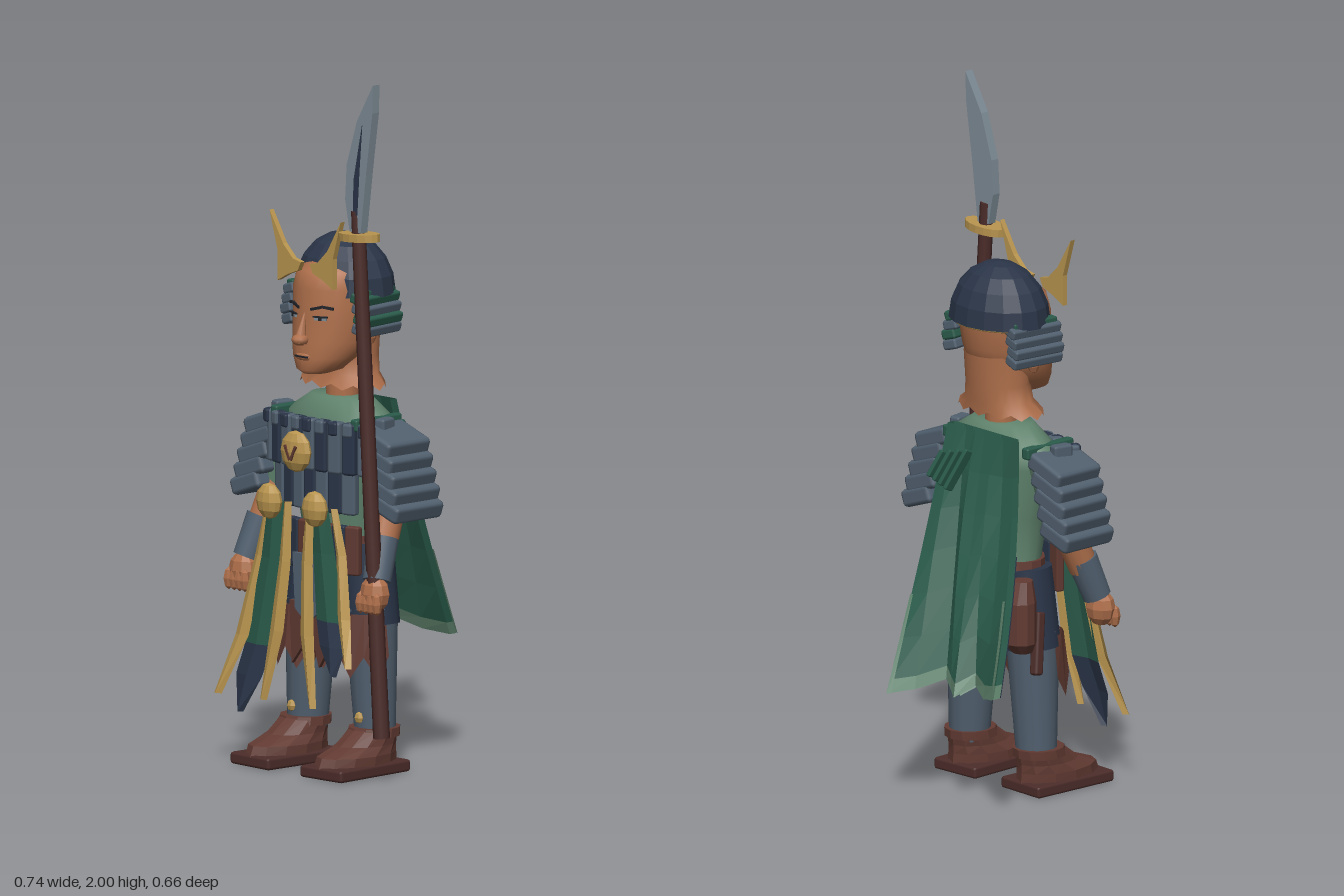
import * as THREE from 'three';
import { RoundedBoxGeometry } from 'three/addons/geometries/RoundedBoxGeometry.js';

const C = 0.025; // body centre line
const colours = {
  navy: 0x2a3548, slate: 0x51606f, darkGreen: 0x2a5b4b, sage: 0x5f826c, gold: 0xb9954f,
  skin: 0xae6f4b, leather: 0x613a32, shaftWood: 0x4c2d2a, steel: 0x7d8b95, ink: 0x1f2228,
};
const M = {};
const V = (x, y, z) => new THREE.Vector3(x, y, z);
const lerp = THREE.MathUtils.lerp;

function flat(geo) {
  const g = geo.index ? geo.toNonIndexed() : geo;
  g.computeVertexNormals();
  return g;
}

// Surface through closed or open rows of points
function skinRows(rows, { closed = true, caps = true, smooth = false } = {}) {
  const n = rows[0].length, pos = [], idx = [];
  rows.forEach((r) => r.forEach((p) => pos.push(p.x, p.y, p.z)));
  for (let i = 0; i < rows.length - 1; i++) {
    for (let j = 0; j < (closed ? n : n - 1); j++) {
      const k = (j + 1) % n, a = i * n + j, b = i * n + k;
      idx.push(a, b, b + n, a, b + n, a + n);
    }
  }
  if (closed && caps) {
    [0, rows.length - 1].forEach((i) => {
      const c = rows[i].reduce((s, p) => s.add(p), V(0, 0, 0)).divideScalar(n);
      const m = pos.length / 3;
      pos.push(c.x, c.y, c.z);
      for (let j = 0; j < n; j++) {
        const a = i * n + j, b = i * n + (j + 1) % n;
        if (i) idx.push(m, a, b); else idx.push(m, b, a);
      }
    });
  }
  const g = new THREE.BufferGeometry();
  g.setAttribute('position', new THREE.Float32BufferAttribute(pos, 3));
  g.setIndex(idx);
  if (!smooth) return flat(g);
  g.computeVertexNormals();
  return g;
}

// Stacked ellipses: [y, centre z, radius x, radius z]; jag tears the lowest edge
function stack(levels, cx, sides, opts, jag = 0) {
  return skinRows(levels.map(([y, cz, rx, rz], i) => Array.from({ length: sides }, (_, j) => {
    const t = (j / sides) * Math.PI * 2;
    return V(cx + rx * Math.sin(t), y + (i === 0 && j % 2 ? jag : 0), cz + rz * Math.cos(t));
  })), opts);
}

// Hanging strip with a raised fold: [x, y, z, half width]
function ribbon(path) {
  return skinRows(path.map(([x, y, z, w]) => [V(x - w, y, z - 0.012), V(x, y, z), V(x + w, y, z - 0.012)]).reverse(), { closed: false });
}

function plate(points, depth) {
  const s = new THREE.Shape(points.map(([x, y]) => new THREE.Vector2(x, y)));
  return new THREE.ExtrudeGeometry(s, { depth, bevelEnabled: false });
}

export function createModel() {
  const root = new THREE.Group();
  for (const k in colours) {
    M[k] = new THREE.MeshStandardMaterial({ color: colours[k], side: THREE.DoubleSide });
    M[k].name = k;
  }
  const add = (name, geo, mat, p = [0, 0, 0], r = [0, 0, 0], s = [1, 1, 1]) => {
    const m = new THREE.Mesh(geo, M[mat]);
    m.name = name;
    m.position.set(...p); m.rotation.set(...r); m.scale.set(...s);
    root.add(m);
    return m;
  };
  const slab = (w, h, d) => new RoundedBoxGeometry(w, h, d, 1, Math.min(w, h, d) * 0.25);
  const ball = (a = 9, b = 6) => flat(new THREE.SphereGeometry(1, a, b));
  const limb = (name, a, b, ra, rb, mat, sides = 14) => {
    const A = V(...a), B = V(...b), d = B.clone().sub(A);
    const m = add(name, new THREE.CylinderGeometry(rb, ra, d.length(), sides), mat);
    m.position.copy(A).addScaledVector(d, 0.5);
    m.quaternion.setFromUnitVectors(V(0, 1, 0), d.normalize());
  };

  // Torso, neck and head
  add('torso', stack([[0.42, 0.05, 0.07, 0.055], [0.46, 0.045, 0.11, 0.08], [0.52, 0.05, 0.135, 0.093], [0.6, 0.065, 0.145, 0.093],
    [0.68, 0.08, 0.135, 0.09], [0.8, 0.085, 0.15, 0.103], [0.95, 0.085, 0.185, 0.105], [1.01, 0.085, 0.19, 0.1], [1.065, 0.085, 0.1, 0.07]],
  C, 20, { smooth: true }), 'sage');
  add('belt', stack([[0.625, 0.075, 0.15, 0.098], [0.675, 0.08, 0.146, 0.098]], C, 18), 'leather');
  limb('neckCore', [C, 1.04, 0.08], [C, 1.13, 0.08], 0.048, 0.048, 'skin');
  add('neck', stack([[1.09, 0.078, 0.15, 0.088], [1.13, 0.07, 0.112, 0.083], [1.18, 0.065, 0.098, 0.085], [1.27, 0.07, 0.1, 0.1]],
    C, 24, { caps: false, smooth: true }, 0.016), 'skin');
  add('head', stack([[1.138, 0.18, 0.035, 0.045], [1.15, 0.165, 0.065, 0.074], [1.185, 0.14, 0.094, 0.1], [1.23, 0.115, 0.112, 0.122],
    [1.29, 0.1, 0.122, 0.131], [1.38, 0.09, 0.128, 0.137], [1.43, 0.085, 0.118, 0.128], [1.47, 0.08, 0.06, 0.07]],
  C, 24, { smooth: true }), 'skin');
  add('noseBridge', new THREE.ConeGeometry(0.019, 0.1, 8), 'skin', [C, 1.275, 0.236], [-0.22, 0, 0], [1, 1, 1.2]);
  add('noseTip', new THREE.SphereGeometry(1, 10, 7), 'skin', [C, 1.238, 0.246], [0, 0, 0], [0.024, 0.017, 0.027]);
  add('lips', new THREE.SphereGeometry(1, 10, 6), 'skin', [C, 1.188, 0.23], [0, 0, 0], [0.034, 0.014, 0.014]);
  add('mouth', new THREE.BoxGeometry(0.05, 0.005, 0.008), 'ink', [C, 1.189, 0.2405]);
  for (const s of [-1, 1]) {
    add('eye', new THREE.BoxGeometry(0.036, 0.008, 0.008), 'steel', [C + s * 0.054, 1.3, 0.218], [0, s * 0.4, 0]);
    add('pupil', new THREE.BoxGeometry(0.01, 0.009, 0.008), 'ink', [C + s * 0.054, 1.3, 0.22], [0, s * 0.4, 0]);
    add('eyelid', new THREE.BoxGeometry(0.044, 0.004, 0.009), 'ink', [C + s * 0.054, 1.306, 0.219], [0, s * 0.4, 0]);
    add('innerBrow', new THREE.BoxGeometry(0.036, 0.008, 0.009), 'ink', [C + s * 0.04, 1.33, 0.221], [0, s * 0.3, s * 0.25]);
    add('outerBrow', new THREE.BoxGeometry(0.036, 0.007, 0.009), 'ink', [C + s * 0.072, 1.333, 0.208], [0, s * 0.55, -s * 0.15]);
    add('ear', ball(), 'skin', [C + s * 0.122, 1.26, 0.09], [0, 0, 0], [0.015, 0.04, 0.025]);
  }

  // Helmet with horns and layered cheek guards
  add('helmet', flat(new THREE.SphereGeometry(1, 16, 5, 0, Math.PI * 2, 0, Math.PI / 2)), 'navy', [C, 1.36, 0.072], [0, 0, 0], [0.16, 0.17, 0.129]);
  add('helmetRim', new THREE.TorusGeometry(1, 0.035, 4, 24), 'gold', [C, 1.36, 0.072], [Math.PI / 2, 0, 0], [0.151, 0.122, 0.15]);
  for (const s of [-1, 1]) {
    const horn = [[0.145, 1.59], [0.09, 1.5], [0.05, 1.462], [0.018, 1.455], [0.03, 1.43], [0.07, 1.415], [0.113, 1.392], [0.113, 1.48]];
    add('horn', plate(horn.map(([x, y]) => [C + s * x, y]), 0.016), 'gold', [0, 0, 0.211]);
    for (let i = 0; i < 4; i++) {
      add('cheekGuard', slab(0.05, 0.03, 0.17), s > 0 && i % 2 ? 'darkGreen' : 'slate',
        [C + s * (0.142 - 0.006 * Math.abs(i - 1)), 1.27 + i * 0.029, 0.078], [0, s * 0.12, -s * 0.3]);
    }
    add('cheekTrim', slab(0.03, 0.02, 0.15), 'darkGreen', [C + s * 0.13, 1.372, 0.08], [0, s * 0.12, 0]);
  }

  // Chest lamellae and medallions
  for (let i = -4; i <= 4; i++) {
    const z = 0.085 + 0.118 * Math.sqrt(1 - (i / 6) ** 2), ry = i * 0.09;
    add('chestPlate', slab(0.044, 0.15, 0.035), i % 2 ? 'navy' : 'slate', [C + i * 0.048, 0.935, z], [0, ry, 0]);
    add('chestCap', slab(0.032, 0.04, 0.04), i % 2 ? 'slate' : 'navy', [C + i * 0.048, 0.99, z + 0.004], [0, ry, 0]);
    if (Math.abs(i) < 4) {
      add('bellyPlate', slab(0.046, 0.13, 0.03), i % 2 ? 'slate' : 'navy', [C + i * 0.046, 0.81, z - 0.005], [0, ry, 0]);
      add('waistPlate', slab(0.046, 0.14, 0.025), i % 2 ? 'leather' : 'navy', [C + i * 0.045, 0.64, z - 0.02], [0, ry, 0]);
    }
  }
  add('beltBuckle', slab(0.06, 0.035, 0.02), 'gold', [C, 0.65, 0.2]);
  add('medallion', ball(12, 6), 'gold', [C, 0.92, 0.262], [0, 0, 0], [0.058, 0.06, 0.025]);
  for (const s of [-1, 1]) {
    add('medallionMark', new THREE.BoxGeometry(0.008, 0.045, 0.006), 'leather', [C + s * 0.012, 0.918, 0.285], [0, 0, -s * 0.45]);
    add('sashRosette', ball(12, 6), 'gold', [C + s * 0.093, 0.768, 0.278], [0, 0, 0], [0.046, 0.052, 0.027]);
    add('shoulderStrap', slab(0.028, 0.035, 0.18), 'darkGreen', [C + s * 0.163, 1.005, 0.105]);
    add('shoulderBuckle', slab(0.035, 0.05, 0.06), 'slate', [C + s * 0.208, 1.0, 0.115], [0, s * 0.2, 0]);
  }

  for (const s of [-1, 1]) {
    const X = (d) => C + s * d;
    // Layered shoulder guards
    for (let i = 0; i < 5; i++) {
      add('shoulderGuard', slab(0.135 - i * 0.004, 0.052, 0.168 + i * 0.005), 'slate', [X(0.232 + 0.013 * i) + 0.005, 0.965 - i * 0.045, 0.108], [0, 0, -s * 0.34]);
    }
    // Arms
    limb('sleeve', [X(0.18), 0.97, 0.09], [X(0.23), 0.79, 0.105], 0.06, 0.052, 'sage');
    limb('elbow', [X(0.228), 0.82, 0.1], [X(0.248), 0.66, 0.165], 0.046, 0.042, 'skin');
    limb('bracer', [X(0.246), 0.69, 0.158], [X(0.265), 0.575, 0.2], 0.046, 0.041, 'slate');
    add('hand', ball(), 'skin', [X(0.268), 0.54, 0.21], [0, 0, 0], [0.048, 0.054, 0.038]);
    for (let i = 0; i < 4; i++) add('finger', ball(6, 4), 'skin', [X(0.236 + i * 0.022), 0.515, 0.235], [0, 0, 0], [0.013, 0.033, 0.018]);

    // Legs and boots
    limb('thigh', [X(0.1), 0.65, 0.08], [X(0.125), 0.42, 0.085], 0.075, 0.08, 'navy');
    limb('shin', [X(0.12), 0.47, 0.085], [X(0.138), 0.1, 0.085], 0.078, 0.058, 'slate');
    add('ankleStud', ball(6, 4), 'gold', [X(0.138), 0.16, 0.148], [0, 0, 0], [0.015, 0.017, 0.012]);
    add('sole', slab(0.165, 0.035, 0.285), 'shaftWood', [X(0.14), 0.018, 0.165], [0, s * 0.04, 0]);
    add('boot', stack([[0.03, 0.165, 0.08, 0.142], [0.06, 0.16, 0.08, 0.135], [0.085, 0.125, 0.07, 0.1], [0.13, 0.09, 0.066, 0.072]], X(0.14), 12), 'leather');
    add('bootCuff', stack([[0.105, 0.095, 0.074, 0.08], [0.13, 0.09, 0.072, 0.077]], X(0.14), 12), 'leather');

    // Torn leather apron over each knee
    const band = new THREE.CylinderGeometry(0.085, 0.1, 0.18, 8, 1, true, -Math.PI / 2, Math.PI);
    const p = band.attributes.position;
    for (let i = 0; i < p.count; i++) if (p.getY(i) < 0 && i % 2) p.setY(i, -0.03);
    add('leatherApron', flat(band), 'leather', [X(0.11), 0.37, 0.1]);

    // Sashes with gold borders and dark tips; the left one hangs shorter
    const sash = (name, mat, path, k = 1) => add(name, ribbon(path.map(([x, y, z, w]) => [X(x), 0.77 - (0.77 - y) * k, z, w])), mat);
    const k = s > 0 ? 0.76 : 1;
    sash('sash', 'darkGreen', [[0.09, 0.77, 0.265, 0.032], [0.105, 0.6, 0.265, 0.045], [0.145, 0.35, 0.28, 0.055]], k);
    sash('sashTip', 'navy', [[0.145, 0.35, 0.28, 0.055], [0.17, 0.26, 0.295, 0.052], [0.19, 0.155, 0.31, 0.012]], k);
    sash('outerBorder', 'gold', [[0.13, 0.77, 0.25, 0.014], [0.165, 0.6, 0.255, 0.021], [0.208, 0.37, 0.285, 0.026], [0.265, 0.2, 0.325, 0.015]], k);
    sash('innerBorder', 'gold', [[0.045, 0.77, 0.262, 0.015], [0.045, 0.6, 0.274, 0.023], [0.062, 0.4, 0.29, 0.027], [0.1, 0.2, 0.305, 0.014]]);
  }
  add('centreApron', plate([[-0.05, 0.48], [0.1, 0.48], [0.11, 0.36], [0.07, 0.3], [0.055, 0.35], [0.02, 0.26], [0.0, 0.35], [-0.04, 0.3]], 0.012), 'leather', [0, 0, 0.205]);
  add('centrePanel', plate([[-0.03, 0.62], [0.08, 0.62], [0.075, 0.46], [0.03, 0.42], [-0.02, 0.46]], 0.012), 'slate', [0, 0, 0.212]);

  // Cape: folded hem, narrow collar, one side swept out, dark lining
  const hem = [[-0.37, 0.4, -0.325], [-0.27, 0.37, -0.27], [-0.18, 0.38, -0.215], [-0.15, 0.35, -0.272], [-0.11, 0.36, -0.245],
    [-0.07, 0.38, -0.225], [0, 0.345, -0.28], [0.06, 0.33, -0.33]];
  const sweep = [1.8, 1.4, 1.15];
  const capePoint = (k, v, dz) => {
    const u = k / (hem.length - 1), [x, y, z] = hem[k];
    const fold = (k % 2 ? 0.012 : -0.006) * Math.sin(v * Math.PI);
    return V(lerp(-0.13 + 0.265 * u, x, v ** 1.5), lerp(1.05, y, v), lerp(-0.025, z, v ** (sweep[k] ?? 1.08)) + fold + dz);
  };
  const ks = hem.map((_, k) => k), back = [...ks].reverse();
  const ring = (v) => [...back.map((k) => capePoint(k, v, 0)), ...ks.map((k) => capePoint(k, v, 0.025))];
  add('cape', skinRows([0.95, 0.8, 0.64, 0.48, 0.32, 0.16, 0].map(ring), { caps: false }), 'darkGreen');
  add('capeHem', skinRows([1, 0.95].map(ring), { caps: false }), 'sage');
  add('capeLining', skinRows([1, 0.8, 0.64, 0.48].map((v) => [0, 1, 2].map((k) => capePoint(k, v, 0.029))), { closed: false }), 'navy');
  // Pale border along both lower cape edges
  for (const [a, b, w] of [[0, 1, 0.2], [7, 6, 0.18]]) {
    const rows = [1, 0.9, 0.8, 0.64].map((v) => [capePoint(a, v, -0.005), capePoint(a, v, -0.005).lerp(capePoint(b, v, -0.005), w)]);
    add('capeSideBorder', skinRows(rows, { closed: false }), 'sage');
  }
  for (let i = 0; i < 4; i++) add('capeKnot', slab(0.014, 0.13 - i * 0.015, 0.03), 'darkGreen', [0.04 + i * 0.028, 0.94, -0.075], [0.4, 0, 0.3]);

  // Hip pouch and knife sheath
  add('pouch', stack([[0.43, 0, 0.03, 0.03], [0.46, -0.01, 0.048, 0.046], [0.58, -0.01, 0.048, 0.046], [0.64, 0, 0.03, 0.03]], -0.145, 10), 'leather');
  add('knifeSheath', slab(0.03, 0.18, 0.03), 'shaftWood', [-0.165, 0.45, 0.04], [0.2, 0, -0.15]);

  // Polearm in the left hand
  limb('polearmShaft', [0.325, 0.13, 0.215], [0.228, 1.63, 0.215], 0.024, 0.02, 'shaftWood', 8);
  add('polearmGuard', flat(new THREE.CylinderGeometry(1, 1, 0.022, 16)), 'gold', [0.234, 1.556, 0.215], [0, 0, 0.06], [0.074, 1, 0.04]);
  add('blade', plate([[0.21, 1.57], [0.192, 1.66], [0.198, 1.76], [0.24, 1.89], [0.305, 2], [0.303, 1.92], [0.277, 1.74], [0.255, 1.57]], 0.026), 'steel', [0, 0, 0.204]);
  add('bladeGroove', plate([[0.225, 1.62], [0.228, 1.72], [0.262, 1.88], [0.25, 1.74], [0.242, 1.62]], 0.004), 'navy', [0, 0, 0.228]);
  return root;
}
